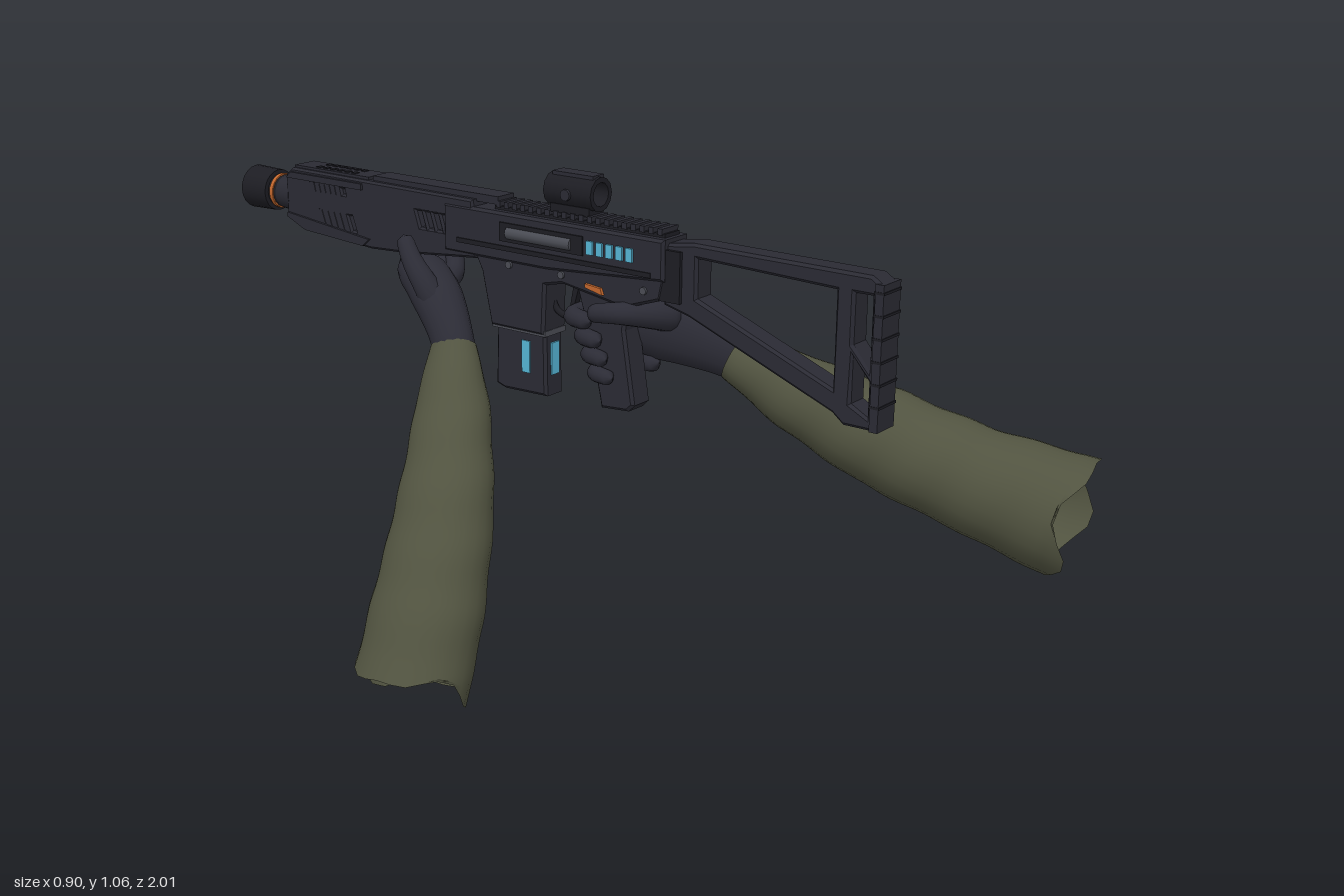
import * as THREE from 'three';
import { mergeVertices } from 'three/addons/utils/BufferGeometryUtils.js';

const material = (name, color, side = THREE.FrontSide) => {
  const m = new THREE.MeshStandardMaterial({ color, side });
  m.name = name;
  return m;
};

export function createModel() {
  const body = material('gunmetal', 0x2a2a33);
  const trim = material('darkTrim', 0x1d1d23, THREE.DoubleSide);
  const glove = material('gloveFabric', 0x2c2c36);
  const cloth = material('oliveCloth', 0x515340, THREE.DoubleSide);
  const orange = material('orangeAccent', 0xc2662c);
  const blue = material('blueGlow', 0x55b4d4, THREE.DoubleSide);
  const steel = material('steel', 0x4a4c54);

  const model = new THREE.Group();
  const rifle = new THREE.Group();
  rifle.name = 'rifle';
  rifle.position.x = 0.07;
  model.add(rifle);

  const add = (parent, name, geo, mat) => {
    const mesh = new THREE.Mesh(geo, mat);
    mesh.name = name;
    parent.add(mesh);
    return mesh;
  };
  // Box given by its ranges on x, y and z
  const box = (name, mat, [x0, x1], [y0, y1], [z0, z1]) => {
    const mesh = add(rifle, name, new THREE.BoxGeometry(x1 - x0, y1 - y0, z1 - z0), mat);
    mesh.position.set((x0 + x1) / 2, (y0 + y1) / 2, (z0 + z1) / 2);
    return mesh;
  };
  // Side profile of [z, y] points, extruded across x with bevelled edges
  const plate = (name, mat, width, outline, holes = [], bevel = 0.006, x = 0) => {
    const toPts = (a) => a.map(([z, y]) => new THREE.Vector2(z, y));
    const shape = new THREE.Shape(toPts(outline));
    holes.forEach((h) => shape.holes.push(new THREE.Path(toPts(h))));
    const geo = new THREE.ExtrudeGeometry(shape, {
      depth: width - 2 * bevel, bevelEnabled: bevel > 0, bevelSize: bevel,
      bevelOffset: -bevel, bevelThickness: bevel, bevelSegments: 1,
    });
    geo.translate(0, 0, -(width - 2 * bevel) / 2).rotateY(-Math.PI / 2).translate(x, 0, 0);
    return add(rifle, name, geo, mat);
  };
  // Cylinder along z
  const barrel = (name, mat, r0, r1, y, z0, z1, sides = 20, open = false, x = 0) => {
    const geo = new THREE.CylinderGeometry(r1, r0, z1 - z0, sides, 1, open).rotateX(Math.PI / 2);
    const mesh = add(rifle, name, geo, mat);
    mesh.position.set(x, y, (z0 + z1) / 2);
    return mesh;
  };
  // Smooth limb through [x, y, z, radius] points, with optional rounded ends
  const limb = (parent, name, mat, pts, { squash = [1, 1, 1], round = true, rings = 20, sides = 12, fold = 0 } = {}) => {
    const curve = new THREE.CatmullRomCurve3(pts.map((p) => new THREE.Vector3(...p)));
    const length = curve.getLength();
    const geo = new THREE.TubeGeometry(curve, rings, 1, sides);
    const pos = geo.attributes.position;
    const scale = new THREE.Vector3(...squash);
    const v = new THREE.Vector3();
    for (let i = 0; i <= rings; i++) {
      const u = i / rings, c = curve.getPointAt(u);
      const t = curve.getUtoTmapping(u) * (pts.length - 1);
      const k = Math.min(Math.floor(t), pts.length - 2);
      let r = THREE.MathUtils.lerp(pts[k][3], pts[k + 1][3], t - k);
      const s = Math.min(u, 1 - u) * length;
      if (round && s < r) r *= Math.max(0.02, Math.sqrt(1 - (1 - s / r) ** 2));
      for (let j = 0; j <= sides; j++) {
        const a = (j % sides) / sides * Math.PI * 2;
        const n = i * (sides + 1) + j;
        const crease = 1 + fold * Math.sin(u * 34 + Math.sin(a) * 2) * (1 - 0.5 * u);
        v.fromBufferAttribute(pos, n).sub(c).multiply(scale).multiplyScalar(r * crease);
        if (fold && i === rings) v.addScaledVector(curve.getTangentAt(1), 0.018 * Math.sin(a * 3) + 0.01 * Math.sin(a * 5));
        v.add(c);
        pos.setXYZ(n, v.x, v.y, v.z);
      }
    }
    geo.deleteAttribute('uv');
    geo.deleteAttribute('normal');
    const merged = mergeVertices(geo, 1e-5);
    merged.computeVertexNormals();
    return add(parent, name, merged, mat);
  };

  // Skeleton stock with butt pad
  plate('stockFrame', body, 0.056,
    [[0.68, 0.685], [0.68, 0.97], [0.66, 0.983], [0.26, 0.985], [0.19, 0.975], [0.19, 0.85], [0.25, 0.835], [0.585, 0.705], [0.61, 0.685]],
    [[[0.585, 0.945], [0.27, 0.955], [0.27, 0.875], [0.585, 0.752]],
      [[0.662, 0.945], [0.625, 0.945], [0.625, 0.845], [0.662, 0.8]],
      [[0.662, 0.78], [0.625, 0.825], [0.625, 0.73], [0.662, 0.71]]]);
  box('buttPad', body, [-0.031, 0.031], [0.685, 0.97], [0.67, 0.688]);
  for (let i = 0; i < 6; i++) box('buttRib', trim, [-0.032, 0.032], [0.731 + i * 0.044, 0.736 + i * 0.044], [0.668, 0.69]);
  box('stockHinge', trim, [-0.036, 0.036], [0.86, 0.965], [0.185, 0.235]);

  // Receiver, magazine well and top rail
  plate('upperReceiver', body, 0.086, [[0.2, 0.9], [0.2, 0.985], [-0.38, 0.985], [-0.38, 0.88], [-0.1, 0.88]]);
  plate('lowerReceiver', body, 0.076,
    [[0.2, 0.91], [-0.31, 0.91], [-0.28, 0.85], [-0.255, 0.735], [-0.11, 0.735], [-0.105, 0.845], [-0.06, 0.855], [0.1, 0.83], [0.19, 0.86]]);
  box('railBase', trim, [-0.024, 0.024], [0.983, 0.993], [-0.25, 0.19]);
  for (let i = 0; i < 20; i++) box('railTooth', body, [-0.027, 0.027], [0.99, 1.003], [-0.245 + i * 0.022, -0.233 + i * 0.022]);
  for (const s of [-1, 1]) {
    plate('receiverPanel', trim, 0.006, [[0.17, 0.905], [0.17, 0.915], [-0.34, 0.915], [-0.34, 0.905]], [], 0, s * 0.043);
    plate('selector', orange, 0.008, [[0.05, 0.85], [0.045, 0.864], [0.005, 0.868], [0.005, 0.86]], [], 0, s * 0.041);
    for (const z of [0.15, -0.06, -0.2]) {
      const pin = add(rifle, 'receiverPin', new THREE.CylinderGeometry(0.008, 0.008, 0.008, 10).rotateZ(Math.PI / 2), steel);
      pin.position.set(s * 0.039, 0.875, z);
    }
  }
  box('ejectionPort', trim, [-0.047, -0.04], [0.925, 0.965], [-0.22, 0]);
  barrel('boltCarrier', steel, 0.014, 0.014, 0.944, -0.2, -0.03, 12, false, -0.04);
  for (let i = 0; i < 5; i++) box('statusLight', blue, [-0.048, -0.041], [0.93, 0.958], [0.01 + i * 0.025, 0.026 + i * 0.025]);

  // Magazine with level windows
  plate('magazine', body, 0.058, [[-0.112, 0.75], [-0.245, 0.75], [-0.25, 0.605], [-0.225, 0.597], [-0.11, 0.6]]);
  box('magazineCollar', steel, [-0.034, 0.034], [0.732, 0.744], [-0.253, -0.108]);
  for (const s of [-1, 1]) {
    plate('magazineWindow', blue, 0.006, [[-0.152, 0.645], [-0.152, 0.715], [-0.174, 0.715], [-0.174, 0.645]], [], 0, s * 0.029);
  }
  box('magazineRearWindow', blue, [-0.012, 0.012], [0.645, 0.715], [-0.115, -0.107]);
  box('magazineMark', orange, [-0.015, 0.015], [0.69, 0.715], [-0.251, -0.243]);

  // Pistol grip, trigger and guard
  plate('pistolGrip', body, 0.06, [[-0.03, 0.86], [0.1, 0.85], [0.095, 0.78], [0.12, 0.625], [0.105, 0.61], [0.035, 0.605], [0.03, 0.63], [0, 0.76]]);
  plate('trigger', trim, 0.016, [[-0.035, 0.86], [-0.05, 0.86], [-0.062, 0.8], [-0.052, 0.8]], [], 0);
  limb(rifle, 'triggerGuard', trim, [[0, 0.79, -0.01, 0.007], [0, 0.775, -0.05, 0.007], [0, 0.785, -0.1, 0.007], [0, 0.82, -0.12, 0.007]], { sides: 6 });

  // Ventilated handguard: slanted slots pass right through
  const slot = (z, y, w, h, lean) => [[z, y], [z - w, y], [z - w - lean, y + h], [z - lean, y + h]];
  const slots = [];
  for (let i = 0; i < 4; i++) slots.push(slot(-0.365 - i * 0.024, 0.92, 0.013, 0.035, 0.012));
  for (let i = 0; i < 6; i++) slots.push(slot(-0.645 - i * 0.019, 0.883, 0.011, 0.032, 0.012));
  for (let i = 0; i < 7; i++) slots.push(slot(-0.675 - i * 0.016, 0.962, 0.008, 0.011, 0.003));
  plate('handguard', body, 0.08,
    [[-0.29, 0.875], [-0.3, 1.0], [-0.84, 1.003], [-0.862, 0.985], [-0.862, 0.895], [-0.8, 0.865], [-0.6, 0.85], [-0.5, 0.855]], slots, 0.005);
  for (const s of [-1, 1]) {
    plate('handguardTopStrip', body, 0.01, [[-0.62, 0.98], [-0.62, 0.994], [-0.84, 0.994], [-0.855, 0.98]], [], 0, s * 0.041);
    plate('handguardLowerStrip', body, 0.01, [[-0.62, 0.855], [-0.6, 0.872], [-0.855, 0.9], [-0.855, 0.89], [-0.8, 0.866]], [], 0, s * 0.041);
    plate('handguardMark', orange, 0.006, slot(-0.33, 0.93, 0.016, 0.025, 0.01), [], 0, s * 0.0395);
  }
  box('handguardSpine', body, [-0.026, 0.026], [0.995, 1.012], [-0.6, -0.24]);
  box('frontRail', body, [-0.03, 0.03], [1.0, 1.008], [-0.84, -0.61]);
  for (let i = 0; i < 6; i++) {
    for (const s of [-1, 1]) box('topVent', trim, [s * 0.015 - 0.007, s * 0.015 + 0.007], [1.005, 1.01], [-0.78 + i * 0.022, -0.768 + i * 0.022]);
  }

  // Muzzle
  barrel('barrelCollar', body, 0.038, 0.042, 0.935, -0.9, -0.855);
  barrel('muzzleRing', orange, 0.04, 0.04, 0.935, -0.918, -0.908);
  barrel('muzzleNeck', trim, 0.037, 0.037, 0.935, -0.94, -0.89);
  barrel('muzzleShroud', trim, 0.049, 0.047, 0.935, -1, -0.925, 20, true);
  barrel('muzzleInner', trim, 0.037, 0.037, 0.935, -1, -0.93, 20, true);
  add(rifle, 'muzzleLip', new THREE.RingGeometry(0.037, 0.049, 20), trim).position.set(0, 0.935, -1);
  add(rifle, 'muzzleShoulder', new THREE.RingGeometry(0.036, 0.047, 20), trim).position.set(0, 0.935, -0.925);

  // Compact optic
  box('sightBase', trim, [-0.024, 0.024], [1.0, 1.018], [-0.1, 0]);
  barrel('sightTube', trim, 0.036, 0.036, 1.045, -0.11, 0.012, 12, true);
  barrel('sightInnerTube', trim, 0.025, 0.025, 1.045, -0.11, 0.012, 12, true);
  for (const z of [-0.11, 0.012]) add(rifle, 'sightRim', new THREE.RingGeometry(0.025, 0.036, 12), trim).position.set(0, 1.045, z);
  add(rifle, 'sightLens', new THREE.CircleGeometry(0.018, 6), blue).position.set(0, 1.045, -0.03);
  add(rifle, 'lensFrame', new THREE.RingGeometry(0.017, 0.026, 12), trim).position.set(0, 1.045, -0.03);
  box('sightTopCap', body, [-0.018, 0.018], [1.073, 1.084], [-0.1, 0.005]);
  for (const s of [-1, 1]) {
    const knob = add(rifle, 'sightKnob', new THREE.CylinderGeometry(0.012, 0.012, 0.014, 10).rotateZ(Math.PI / 2), body);
    knob.position.set(s * 0.034, 1.042, -0.05);
  }

  // Arm on the trigger side
  const rear = new THREE.Group();
  rear.name = 'triggerArm';
  model.add(rear);
  limb(rear, 'sleeve', cloth, [[0.18, 0.73, 0.275, 0.052], [0.205, 0.675, 0.4, 0.078], [0.235, 0.61, 0.58, 0.1],
    [0.275, 0.55, 0.77, 0.106], [0.32, 0.5, 0.965, 0.124]], { round: false, rings: 40, sides: 24, fold: 0.025 });
  limb(rear, 'palm', glove, [[0.19, 0.72, 0.33, 0.045], [0.165, 0.75, 0.235, 0.05], [0.14, 0.775, 0.13, 0.06],
    [0.12, 0.785, 0.06, 0.055], [0.115, 0.785, 0, 0.04]], { squash: [0.72, 1.25, 1], sides: 16 });
  for (let i = 0; i < 4; i++) {
    const y = 0.81 - i * 0.037, z = i * 0.016 - (i === 0 ? 0.01 : 0), r = 0.021 - i * 0.001;
    limb(rear, 'finger', glove, [[0.125, y, 0.075 + z, r + 0.002], [0.125, y - 0.012, 0 + z, r],
      [0.085, y - 0.02, -0.035 + z, r], [0.04, y - 0.02, -0.025 + z, r], [0.025, y - 0.02, 0.03 + z, r * 0.85]]);
  }
  limb(rear, 'thumb', glove, [[0.14, 0.8, 0.16, 0.035], [0.075, 0.815, 0.135, 0.03], [0.025, 0.82, 0.09, 0.023], [0.018, 0.81, 0.02, 0.019]]);

  // Arm supporting the handguard
  const fore = new THREE.Group();
  fore.name = 'supportArm';
  model.add(fore);
  limb(fore, 'sleeve', cloth, [[-0.015, 0.69, -0.32, 0.047], [-0.07, 0.59, -0.275, 0.075], [-0.185, 0.4, -0.2, 0.1],
    [-0.29, 0.21, -0.16, 0.115], [-0.36, 0.075, -0.145, 0.117]], { squash: [0.93, 0.93, 1.1], round: false, rings: 40, sides: 24, fold: 0.02 });
  limb(fore, 'palm', glove, [[-0.03, 0.65, -0.295, 0.042], [-0.008, 0.715, -0.335, 0.047], [0.02, 0.775, -0.395, 0.056],
    [0.05, 0.81, -0.46, 0.056], [0.075, 0.825, -0.53, 0.04]], { squash: [0.95, 0.85, 1.1], sides: 16 });
  for (let i = 0; i < 4; i++) {
    const z = -i * 0.038, r = 0.02, y = i * 0.008;
    limb(fore, 'finger', glove, [[0.05, 0.8 + y, -0.4 + z, r + 0.004], [0.105, 0.815 + y, -0.42 + z, r + 0.003],
      [0.131, 0.865 + y, -0.45 + z, r], [0.13, 0.915 + y, -0.475 + z, r], [0.122, 0.948 + y, -0.497 + z, r * 0.85]]);
  }
  limb(fore, 'thumb', glove, [[0.005, 0.75, -0.37, 0.035], [-0.008, 0.81, -0.405, 0.028], [-0.008, 0.855, -0.44, 0.023], [0.003, 0.905, -0.475, 0.018]]);

  return model;
}
